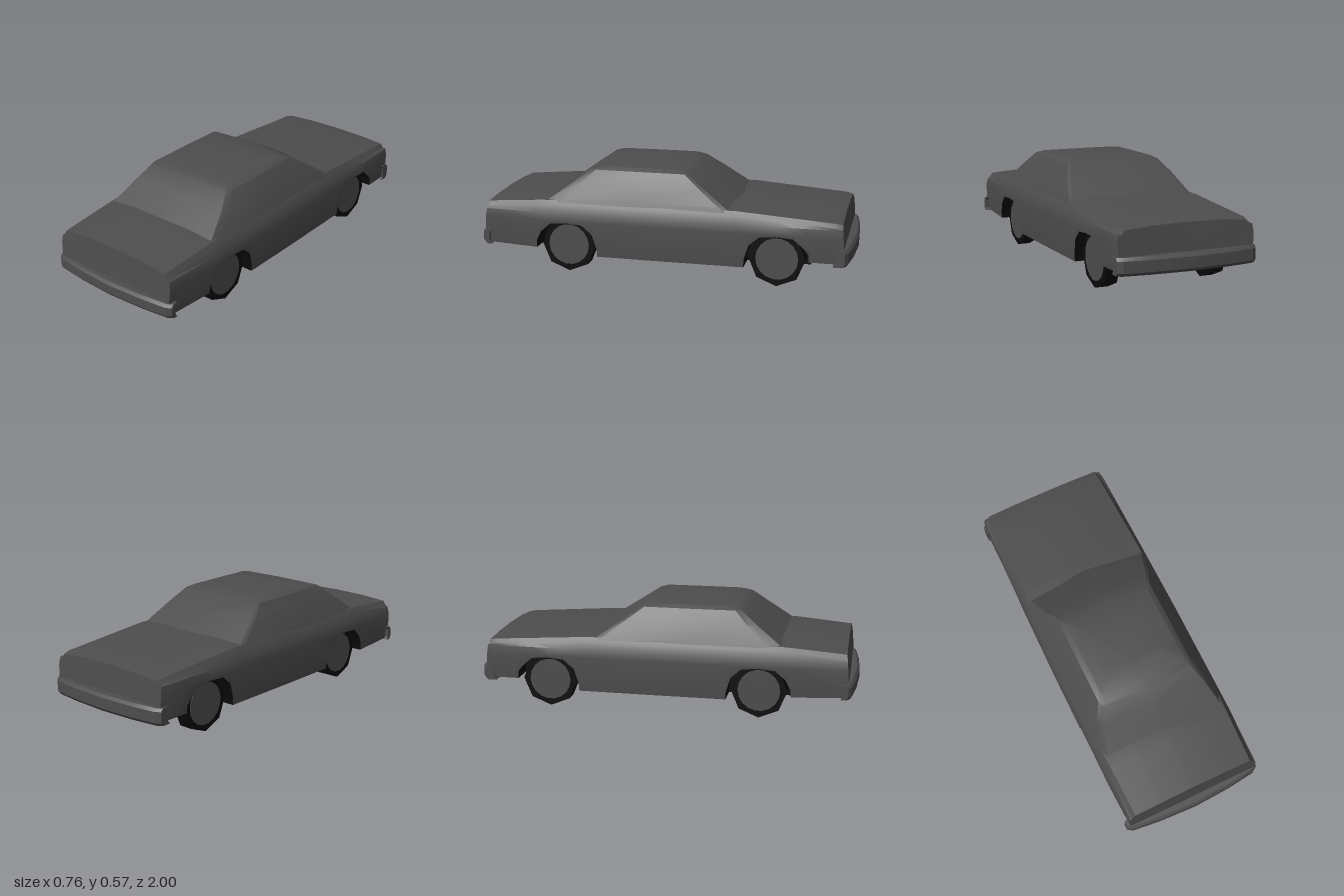
import * as THREE from 'three';
import { toCreasedNormals } from 'three/addons/utils/BufferGeometryUtils.js';

const paint = new THREE.MeshStandardMaterial({ color: 0x4d4d4d });
paint.name = 'greyPaint';
const black = new THREE.MeshStandardMaterial({ color: 0x0a0a0a });
black.name = 'blackRubber';

// Skin a row of cross-sections; optional fans close the first and last one
function loft(sections, { closed = false, capStart = false, capEnd = false, crease = 0.45 } = {}) {
  const n = sections[0].length;
  const index = [];
  const last = (sections.length - 1) * n;
  for (let i = 0; i < sections.length - 1; i++) {
    for (let j = 0; j < (closed ? n : n - 1); j++) {
      const a = i * n + j, d = i * n + (j + 1) % n;
      index.push(a, d, d + n, a, d + n, a + n);
    }
  }
  for (let j = 1; j < n - 1; j++) {
    if (capStart) index.push(0, j + 1, j);
    if (capEnd) index.push(last, last + j, last + j + 1);
  }
  const g = new THREE.BufferGeometry();
  g.setAttribute('position', new THREE.Float32BufferAttribute(sections.flat(2), 3));
  g.setIndex(index);
  return toCreasedNormals(g, crease);
}

function add(parent, name, geometry, material) {
  const m = new THREE.Mesh(geometry, material);
  m.name = name;
  parent.add(m);
  return m;
}

const lerpTable = (table, z) => {
  let i = 0;
  while (i < table.length - 2 && z > table[i + 1][0]) i++;
  const [a, b] = [table[i], table[i + 1]];
  const t = THREE.MathUtils.clamp((z - a[0]) / (b[0] - a[0]), 0, 1);
  return a.map((v, k) => v + (b[k] - v) * t);
};

const FRONT_AXLE = -0.61, REAR_AXLE = 0.5;

// Wheel arch outline: [z, edge height, floor height]
const arch = (c, y0, y1) => [
  [c - 0.166, y0, y0], [c - 0.165, y0 + 0.04, 0.1], [c - 0.14, 0.22, 0.1], [c - 0.085, 0.268, 0.1],
  [c, 0.275, 0.1], [c + 0.085, 0.268, 0.1], [c + 0.14, 0.22, 0.1],
  [c + 0.165, y1 + 0.04, 0.1], [c + 0.166, y1, y1],
];

export function createModel() {
  const car = new THREE.Group();
  car.name = 'sedan';

  const lower = [
    [-0.955, 0.15, 0.15], [-0.9, 0.15, 0.15], ...arch(FRONT_AXLE, 0.15, 0.1),
    [-0.4, 0.1, 0.1], [0, 0.1, 0.1], ...arch(REAR_AXLE, 0.1, 0.13), [0.96, 0.142, 0.142],
  ];
  // Shoulder line: z, width factor, edge height
  const upper = [
    [-0.955, 0.95, 0.345], [-0.9, 0.97, 0.353], [-0.4, 0.99, 0.388],
    [0, 1, 0.388], [0.61, 0.995, 0.387], [0.96, 0.965, 0.36],
  ];
  const lowX = (y, w) => w * (0.367 + (y - 0.1) * 0.07);

  // Painted body shell
  const shell = lower.map(([z, yb]) => {
    const [, w, e] = lerpTable(upper, z);
    const half = [
      [lowX(yb, w), yb], [0.38 * w, 0.285], [0.373 * w, 0.325],
      [0.357 * w, e - 0.022], [0.342 * w, e], [0.18, e + 0.011],
    ];
    const all = [...half, [0, e + 0.015], ...half.map(([x, y]) => [-x, y]).reverse()];
    // Nose and tail lean inwards towards the top
    const lean = Math.abs(z) > 0.93 ? 0.12 : 0;
    return all.map(([x, y]) => [x, y, z * (1 - lean * Math.max(0, y - 0.2))]);
  });
  add(car, 'bodyShell', loft(shell, { capStart: true, capEnd: true }), paint);

  // Black floor with wheel wells
  const floor = lower.map(([z, yb, base]) => {
    const x = lowX(yb, lerpTable(upper, z)[1]);
    return [[-x, yb, z], [-0.235, yb, z], [-0.235, base, z], [0.235, base, z], [0.235, yb, z], [x, yb, z]];
  });
  add(car, 'underside', loft(floor), black);

  // Cabin rings: height, half width, rear z, front z, corner setback
  const levels = [
    [0.365, 0.352, 0.66, -0.445, 0.06], [0.4, 0.338, 0.612, -0.39, 0.055],
    [0.48, 0.302, 0.495, -0.26, 0.04], [0.545, 0.262, 0.405, -0.15, 0.025],
    [0.56, 0.235, 0.36, -0.105, 0.02], [0.568, 0.14, 0.25, 0.02, 0.01],
  ];
  const rings = levels.map(([y, x, zr, zf, s]) => {
    const half = [[x - 0.014, zr - s * 0.4], [x, zr - s * 1.6], [x + 0.002, 0.13], [x, zf + s * 1.5], [x - 0.01, zf + s]];
    const ring = [[0, zr], ...half, [0, zf], ...half.map(([a, z]) => [-a, z]).reverse()];
    return ring.map(([a, z]) => [a, y, z]);
  });
  add(car, 'cabin', loft(rings, { closed: true, capEnd: true, crease: 0.4 }), paint);

  // Bumpers: bowed plan outline swept upwards with a slim upper edge
  const bumper = (name, dir, halfX, y0, y1, zIn) => {
    const half = [[halfX, zIn], [halfX, 0.955], [halfX - 0.025, 0.972], [0.2, 0.99]];
    const plan = [...half, [0, 1], ...half.map(([x, z]) => [-x, z]).reverse()];
    const tiers = [[y0, -0.012], [y0 + 0.015, 0], [y1 - 0.015, 0], [y1, -0.012]].map(([y, inset]) =>
      plan.map(([x, z]) => [-x * dir, y, dir * (z + inset)]));
    // Each ring runs so that its outside faces outwards
    const sections = tiers.map((t) => (dir > 0 ? t : t.map(([x, y, z]) => [x, y, z])));
    add(car, name, loft(sections, { closed: true, capStart: true, capEnd: true }), paint);
  };
  bumper('rearBumper', 1, 0.38, 0.135, 0.212, 0.93);
  bumper('frontBumper', -1, 0.368, 0.135, 0.222, 0.91);

  // Wheels: eight-sided tyres with round hub discs
  const tyre = new THREE.CylinderGeometry(0.146, 0.146, 0.071, 8).toNonIndexed();
  tyre.computeVertexNormals();
  const hub = new THREE.CylinderGeometry(0.11, 0.11, 0.077, 18);
  for (const [end, z] of [['front', FRONT_AXLE], ['rear', REAR_AXLE]]) {
    for (const [side, s] of [['Left', 1], ['Right', -1]]) {
      const wheel = new THREE.Group();
      wheel.name = end + side + 'Wheel';
      wheel.position.set(s * 0.292, 0.146, z);
      wheel.rotation.z = Math.PI / 2;
      add(wheel, 'tyre', tyre, black);
      add(wheel, 'hub', hub, paint);
      car.add(wheel);
    }
  }
  return car;
}
